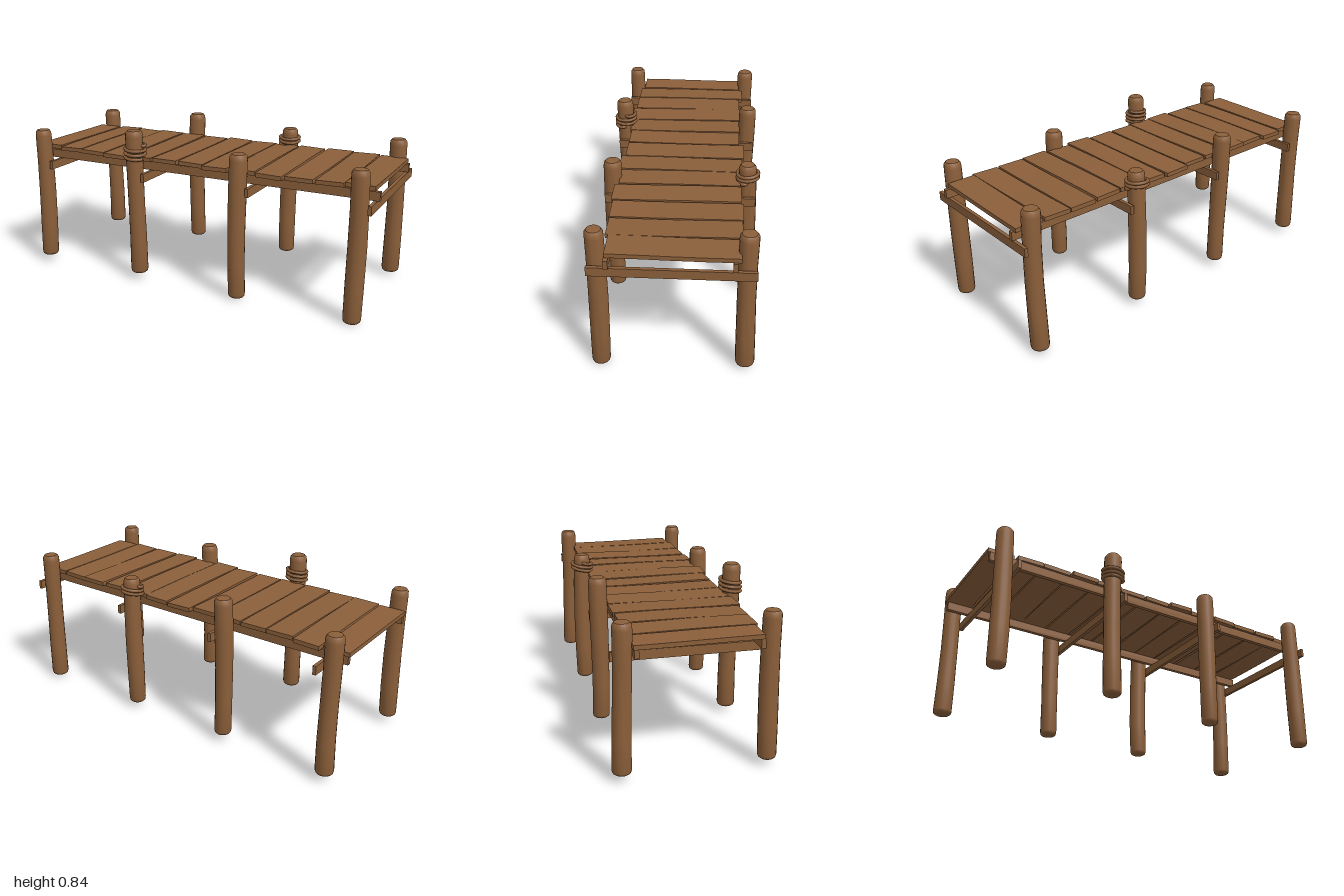
import * as THREE from 'three';
import { toCreasedNormals } from 'three/addons/utils/BufferGeometryUtils.js';

const wood = new THREE.MeshStandardMaterial({ color: 0x8b5f3a });
wood.name = 'brown wood';

// Round pile with chamfered ends and a slight wobble along its length
function pile(x, z, y0, y1, seed) {
  const r = 0.046, h = y1 - y0;
  const profile = [[0, 0], [0.036, 0.002], [0.043, 0.008], [r, 0.02], [r, h * 0.25], [r, h * 0.5],
    [r, h * 0.75], [r, h - 0.035], [0.044, h - 0.014], [0.035, h - 0.002], [0, h]]
    .map(([a, b]) => new THREE.Vector2(a, b));
  let geo = new THREE.LatheGeometry(profile, 18);
  const p = geo.attributes.position;
  for (let i = 0; i < p.count; i++) {
    const t = p.getY(i) / h;
    const swell = 1 + 0.035 * Math.sin(t * 5 + seed * 2);
    p.setX(i, p.getX(i) * swell + 0.004 * Math.sin(t * 4 + seed * 1.7));
    p.setZ(i, p.getZ(i) * swell + 0.004 * Math.cos(t * 4 + seed * 2.3));
  }
  geo = toCreasedNormals(geo, 0.7);
  const mesh = new THREE.Mesh(geo, wood);
  mesh.position.set(x, y0, z);
  mesh.name = 'pile';
  return mesh;
}

// Rope wound around a pile, its ends tucked into the wood
function rope(x, z, y0, y1, turns, tilt) {
  const pts = [];
  const n = turns * 16;
  for (let i = 0; i <= n; i++) {
    const t = i / n, a = t * turns * Math.PI * 2;
    const r = i === 0 || i === n ? 0.035 : 0.054;
    pts.push(new THREE.Vector3(Math.cos(a) * r, y0 + (y1 - y0) * t - tilt * Math.sin(a), Math.sin(a) * r));
  }
  const geo = new THREE.TubeGeometry(new THREE.CatmullRomCurve3(pts), n * 2, 0.009, 8);
  const mesh = new THREE.Mesh(geo, wood);
  mesh.position.set(x, 0, z);
  mesh.name = 'rope';
  return mesh;
}

function beam(name, w, h, d, x, y, z) {
  const mesh = new THREE.Mesh(new THREE.BoxGeometry(w, h, d), wood);
  mesh.position.set(x, y, z);
  mesh.name = name;
  return mesh;
}

// Deck board, slightly skewed and warped
function plank(x0, x1, z0, z1, i) {
  const geo = new THREE.BoxGeometry(x1 - x0, 0.022, z1 - z0, 1, 1, 4);
  const p = geo.attributes.position;
  for (let k = 0; k < p.count; k++) {
    const s = p.getZ(k) / (z1 - z0);
    p.setX(k, p.getX(k) + 0.005 * s * Math.sin(i * 2.4));
    p.setY(k, p.getY(k) + 0.002 * Math.sin(s * 4 + i) + 0.025 * p.getX(k) * Math.sin(i * 1.9));
  }
  geo.computeVertexNormals();
  const mesh = new THREE.Mesh(geo, wood);
  mesh.position.set((x0 + x1) / 2, 0.677, (z0 + z1) / 2);
  mesh.name = 'plank';
  return mesh;
}

export function createModel() {
  const dock = new THREE.Group();
  dock.name = 'dock';

  // Piles: x, front bottom, front top, back bottom, back top
  const piles = new THREE.Group();
  piles.name = 'piles';
  [[-0.937, 0.04, 0.785, 0.04, 0.78], [-0.324, 0.038, 0.842, 0.04, 0.81],
    [0.281, 0.008, 0.782, 0.035, 0.78], [0.912, 0, 0.78, 0.018, 0.782]]
    .forEach(([x, f0, f1, b0, b1], i) => {
      piles.add(pile(x, 0.345, f0, f1, i), pile(x, -0.352, b0, b1, i + 4));
    });
  dock.add(piles);

  // Ropes on one front and one back pile
  dock.add(rope(-0.324, 0.345, 0.69, 0.758, 3, 0.004));
  dock.add(rope(0.281, -0.352, 0.685, 0.735, 2.5, 0.008));

  // Long stringers under the deck
  dock.add(beam('frontStringer', 1.99, 0.046, 0.022, 0.004, 0.642, 0.287));
  dock.add(beam('backStringer', 1.98, 0.046, 0.022, 0, 0.642, -0.293));

  // Cross beams beside each pair of piles
  for (const x of [-0.867, -0.264, 0.346, 0.975]) {
    dock.add(beam('crossBeam', 0.018, 0.046, 0.775, x, 0.592, -0.006));
  }

  // Deck boards: left edge, right edge, back end, front end
  const deck = new THREE.Group();
  deck.name = 'deck';
  [[-1, -0.86, -0.31, 0.29], [-0.848, -0.709, -0.33, 0.308], [-0.702, -0.555, -0.313, 0.31],
    [-0.548, -0.403, -0.32, 0.326], [-0.396, -0.25, -0.313, 0.315], [-0.243, -0.1, -0.31, 0.306],
    [-0.088, 0.056, -0.335, 0.306], [0.066, 0.208, -0.325, 0.326], [0.213, 0.355, -0.315, 0.306],
    [0.366, 0.507, -0.32, 0.325], [0.522, 0.67, -0.33, 0.314], [0.677, 0.822, -0.325, 0.31],
    [0.828, 0.976, -0.32, 0.295]]
    .forEach((b, i) => deck.add(plank(...b, i)));
  dock.add(deck);
  return dock;
}
